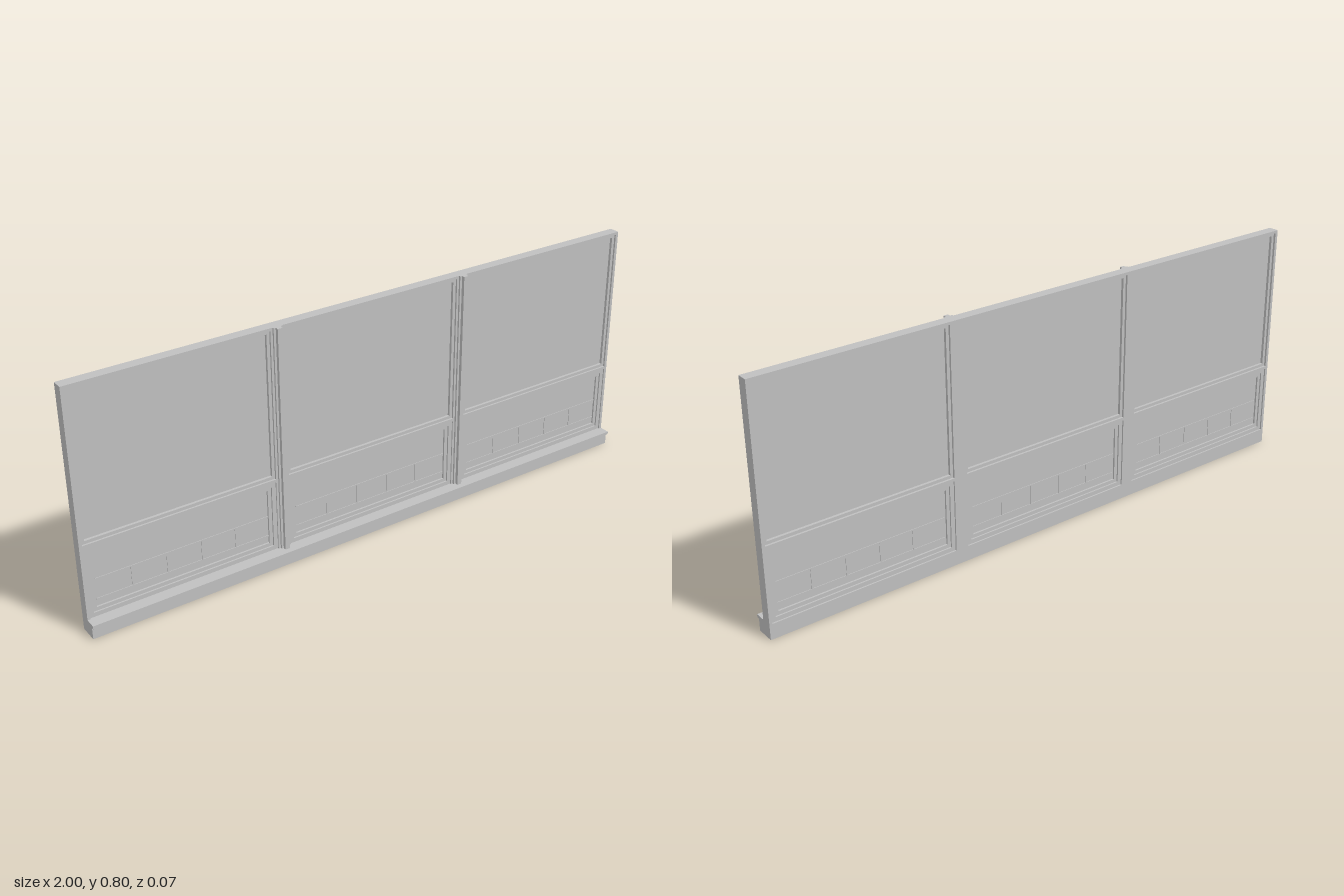
import * as THREE from 'three';

const grey = new THREE.MeshStandardMaterial({ color: 0xc0c0c0 });
grey.name = 'paintedGrey';

// Box given by its limits on each axis
function box(name, x0, x1, y0, y1, z0, z1) {
  const g = new THREE.BoxGeometry(x1 - x0, y1 - y0, z1 - z0);
  g.translate((x0 + x1) / 2, (y0 + y1) / 2, (z0 + z1) / 2);
  const m = new THREE.Mesh(g, grey);
  m.name = name;
  return m;
}

// Rectangular outline, corners in order
function rect(x0, x1, y0, y1, Type = THREE.Shape) {
  return new Type([[x0, y0], [x1, y0], [x1, y1], [x0, y1]].map(p => new THREE.Vector2(...p)));
}

// Flat frame with rectangular openings
function frame(name, outer, openings, z0, z1) {
  const s = rect(...outer);
  s.holes = openings.map(o => rect(...o, THREE.Path));
  const g = new THREE.ExtrudeGeometry(s, { depth: z1 - z0, bevelEnabled: false });
  g.translate(0, 0, z0);
  const m = new THREE.Mesh(g, grey);
  m.name = name;
  return m;
}

// Ring of constant width inside a rectangle
function ring(name, [x0, x1, y0, y1], w, z0, z1) {
  return frame(name, [x0, x1, y0, y1], [[x0 + w, x1 - w, y0 + w, y1 - w]], z0, z1);
}

function createBay(x0, x1) {
  const bay = new THREE.Group();
  bay.name = 'windowBay';

  // Upper fixed light
  bay.add(
    ring('upperSash', [x0, x1, 0.298, 0.786], 0.01, -0.028, -0.006),
    box('upperGlass', x0 + 0.009, x1 - 0.009, 0.307, 0.777, -0.019, -0.015)
  );

  // Lower sash with a stepped surround
  bay.add(
    ring('lowerSash', [x0, x1, 0.05, 0.288], 0.014, -0.03, -0.004),
    ring('lowerSashBead', [x0 + 0.014, x1 - 0.014, 0.064, 0.274], 0.012, -0.025, -0.009),
    box('lowerGlass', x0 + 0.025, x1 - 0.025, 0.075, 0.263, -0.019, -0.015)
  );

  // Thin glazing bars: two rails and a row of five cells
  const a = x0 + 0.03, b = x1 - 0.025, z0 = -0.021, z1 = -0.013, t = 0.002;
  for (const y of [0.1, 0.168]) bay.add(box('glazingRail', a, b, y - t, y + t, z0, z1));
  for (let i = 1; i < 5; i++) {
    const x = a + (b - a) * i / 5;
    bay.add(box('glazingBar', x - t, x + t, 0.1, 0.168, z0, z1));
  }
  return bay;
}

export function createModel() {
  const model = new THREE.Group();
  model.name = 'tripleWindow';

  const bays = [[-0.99, -0.36], [-0.315, 0.315], [0.36, 0.99]];

  // Main frame with an upper and a lower opening in each bay
  const openings = bays.flatMap(([a, b]) => [[a, b, 0.05, 0.288], [a, b, 0.298, 0.786]]);
  model.add(frame('mainFrame', [-1, 1, 0.04, 0.795], openings, -0.035, 0));
  for (const [a, b] of bays) model.add(createBay(a, b));

  // Projecting cover strips on the mullions
  for (const s of [-1, 1]) {
    const x = s * 0.3375;
    model.add(
      box('mullionBase', x - 0.015, x + 0.015, 0.05, 0.795, 0, 0.006),
      box('mullionRib', x - 0.008, x + 0.008, 0.05, 0.795, 0.006, 0.017)
    );
  }

  // Base block and projecting sill
  model.add(
    box('base', -1, 1, 0, 0.04, -0.035, 0.027),
    box('sill', -1, 1, 0.04, 0.05, 0, 0.036)
  );
  return model;
}
